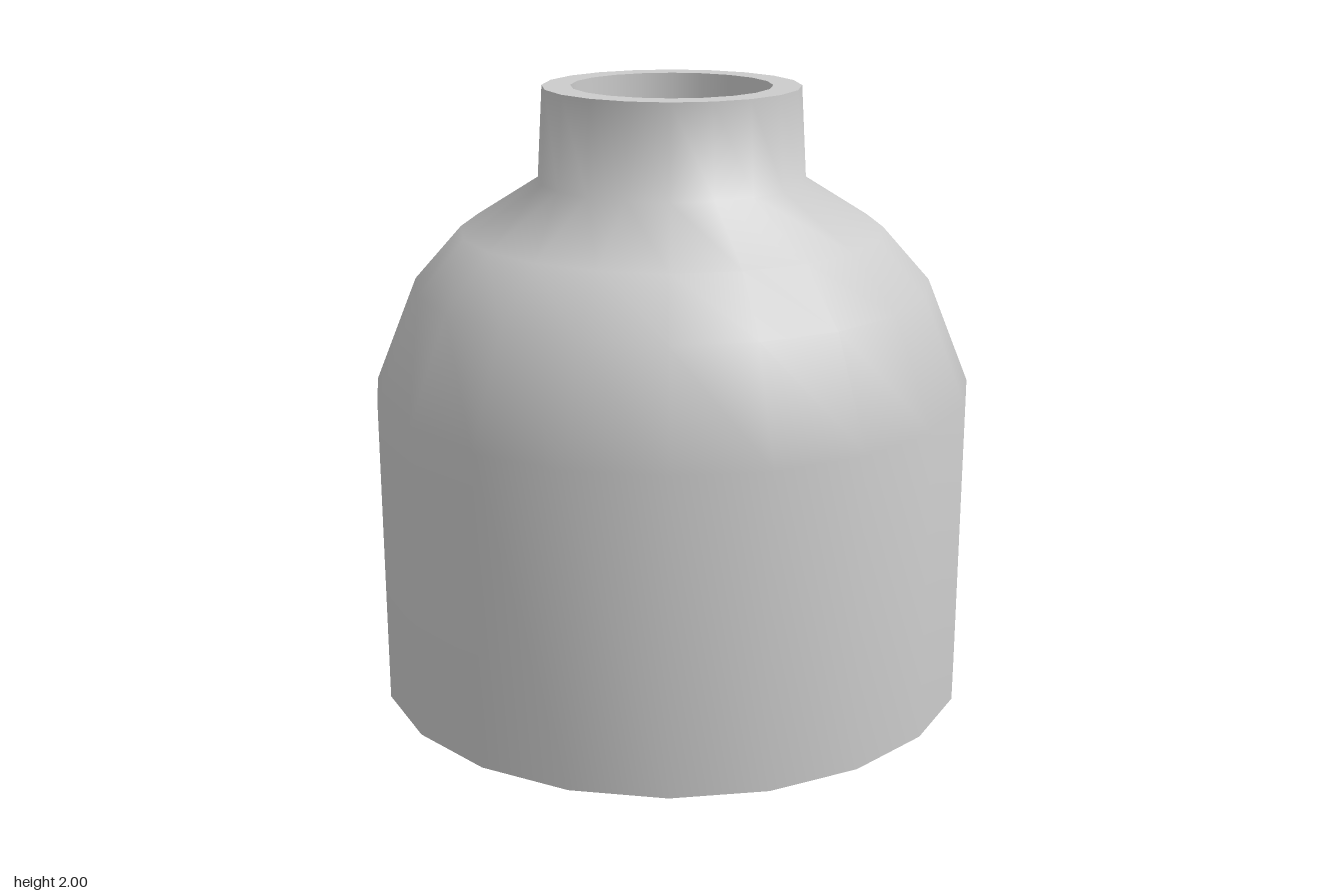
import * as THREE from 'three';

const SIDES = 20;
const material = new THREE.MeshStandardMaterial({ color: 0xcccccc });

// Revolve a profile of [radius, height] points around the y axis
function turned(name, profile) {
  const points = profile.map(([r, y]) => new THREE.Vector2(r, y));
  const mesh = new THREE.Mesh(new THREE.LatheGeometry(points, SIDES), material);
  mesh.name = name;
  return mesh;
}

export function createModel() {
  const group = new THREE.Group();
  group.name = 'bottle';

  // Each part is its own surface, so the edges between them stay sharp
  group.add(
    turned('base', [[0, 0], [0.985, 0]]),
    turned('bodyShoulderAndNeck', [
      [0.985, 0], [0.985, 1.02], [0.845, 1.365], [0.69, 1.54], [0.435, 1.7], [0.417, 2],
    ]),
    turned('rim', [[0.417, 2], [0.325, 2]]),
    turned('mouthWall', [[0.325, 2], [0.325, 1.5]]),
    turned('mouthFloor', [[0.325, 1.5], [0, 1.5]]),
  );
  return group;
}
